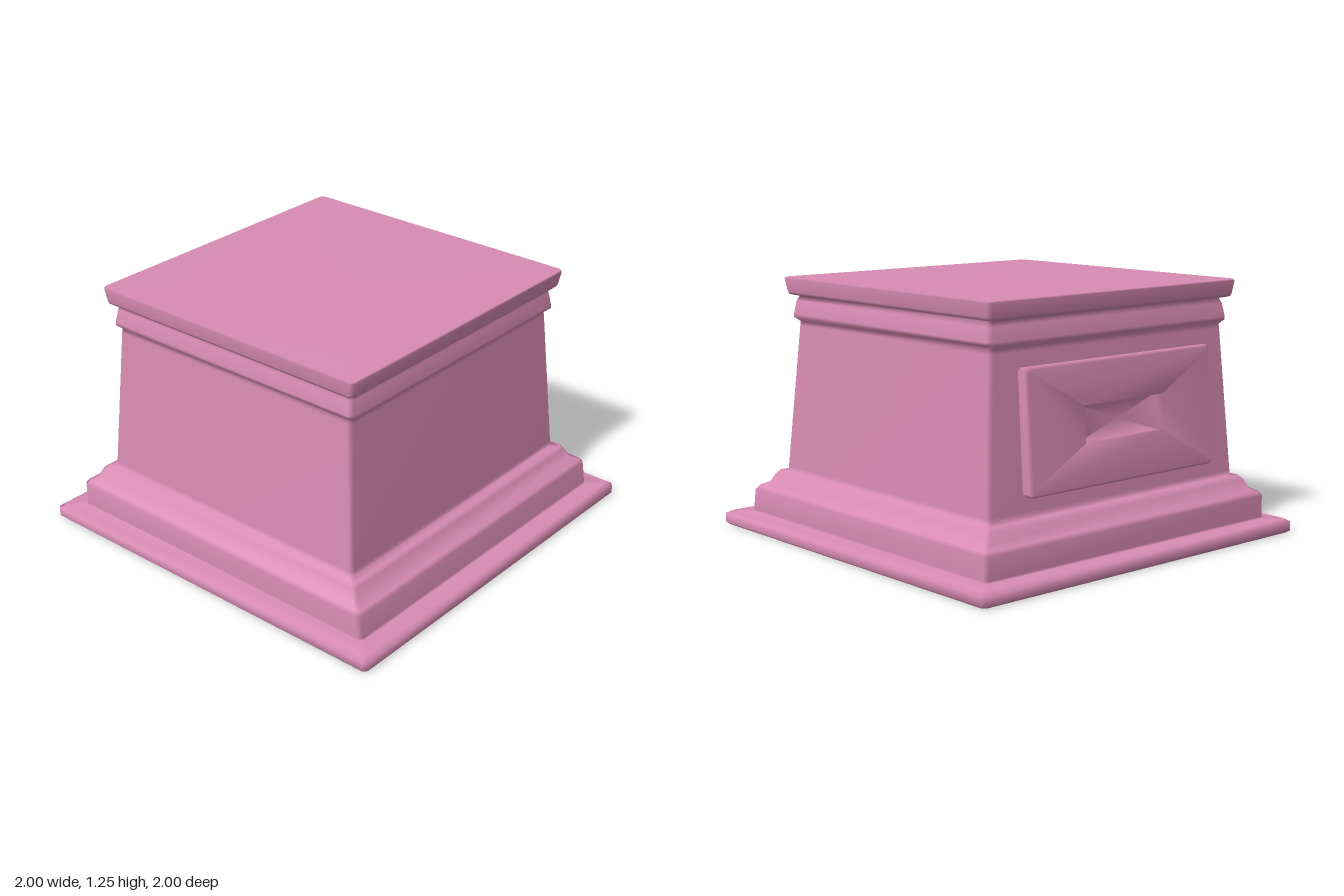
import * as THREE from 'three';

const pink = new THREE.MeshStandardMaterial({ color: 0xd88bb4, side: THREE.DoubleSide });
pink.name = 'pink';

// Smooth loft through chamfered rectangles, closed at the last one.
// Each row is [minX, maxX, minY, maxY, z, chamfer].
function loft(rows) {
  const pos = [], index = [], n = 8;
  for (const [x0, x1, y0, y1, z, c] of rows) {
    pos.push(
      x0 + c, y0, z, x1 - c, y0, z, x1, y0 + c, z, x1, y1 - c, z,
      x1 - c, y1, z, x0 + c, y1, z, x0, y1 - c, z, x0, y0 + c, z);
  }
  for (let i = 0; i < rows.length - 1; i++) {
    for (let j = 0; j < n; j++) {
      const a = i * n + j, b = i * n + (j + 1) % n;
      index.push(a, b, b + n, a, b + n, a + n);
    }
  }
  // Closing face
  const [x0, x1, y0, y1, z] = rows[rows.length - 1];
  const last = (rows.length - 1) * n, centre = rows.length * n;
  pos.push((x0 + x1) / 2, (y0 + y1) / 2, z);
  for (let j = 0; j < n; j++) index.push(last + j, last + (j + 1) % n, centre);
  const g = new THREE.BufferGeometry();
  g.setAttribute('position', new THREE.Float32BufferAttribute(pos, 3));
  g.setIndex(index);
  g.computeVertexNormals();
  return g;
}

export function createModel() {
  const model = new THREE.Group();
  model.name = 'pedestal';

  // Hollow stepped body: [height, half width, front z, back z]
  const profile = [
    [0.012, 0.955, 0.955, -0.955],
    [0.0, 0.985, 0.985, -0.985],
    [0.012, 1.0, 1.0, -1.0],
    [0.052, 1.0, 1.0, -1.0],
    [0.068, 0.975, 0.975, -0.975],
    [0.07, 0.9, 0.895, -0.9],
    [0.08, 0.9, 0.893, -0.9],
    [0.185, 0.9, 0.876, -0.9],
    [0.203, 0.885, 0.865, -0.888],
    [0.222, 0.853, 0.82, -0.855],
    [0.265, 0.832, 0.798, -0.835],
    [0.283, 0.815, 0.785, -0.815],
    [0.285, 0.788, 0.747, -0.788],
    [0.31, 0.786, 0.745, -0.786],
    [1.01, 0.737, 0.692, -0.742],
    [1.03, 0.735, 0.69, -0.74],
    [1.05, 0.758, 0.715, -0.758],
    [1.065, 0.758, 0.715, -0.758],
    [1.13, 0.747, 0.705, -0.747],
    [1.153, 0.735, 0.695, -0.737],
    [1.162, 0.772, 0.727, -0.775],
    [1.175, 0.778, 0.733, -0.781],
    [1.238, 0.788, 0.744, -0.789],
    [1.245, 0.782, 0.738, -0.783],
  ];
  const bodyGeometry = loft(profile.map(([y, w, front, back]) => [-w, w, -front, -back, y, 0.018]));
  bodyGeometry.rotateX(-Math.PI / 2);
  const body = new THREE.Mesh(bodyGeometry, pink);
  body.name = 'body';
  model.add(body);

  // Sloping back plaque with a rectangular recess: [half width, half height, depth, chamfer]
  const steps = [
    [0.585, 0.282, -0.01, 0.015],
    [0.588, 0.286, 0.042, 0.015],
    [0.574, 0.272, 0.056, 0.015],
    [0.25, 0.085, 0.056, 0.002],
    [0.25, 0.085, 0.006, 0.002],
  ];
  const plaqueGeometry = loft(steps.map(([w, h, d, c]) => [-w, w, -h, h, d, c]));
  plaqueGeometry.rotateY(Math.PI);
  const plaque = new THREE.Mesh(plaqueGeometry, pink);
  plaque.name = 'backPlaque';
  plaque.position.set(0, 0.66, -0.765);
  plaque.rotation.x = 0.07;
  model.add(plaque);

  return model;
}
